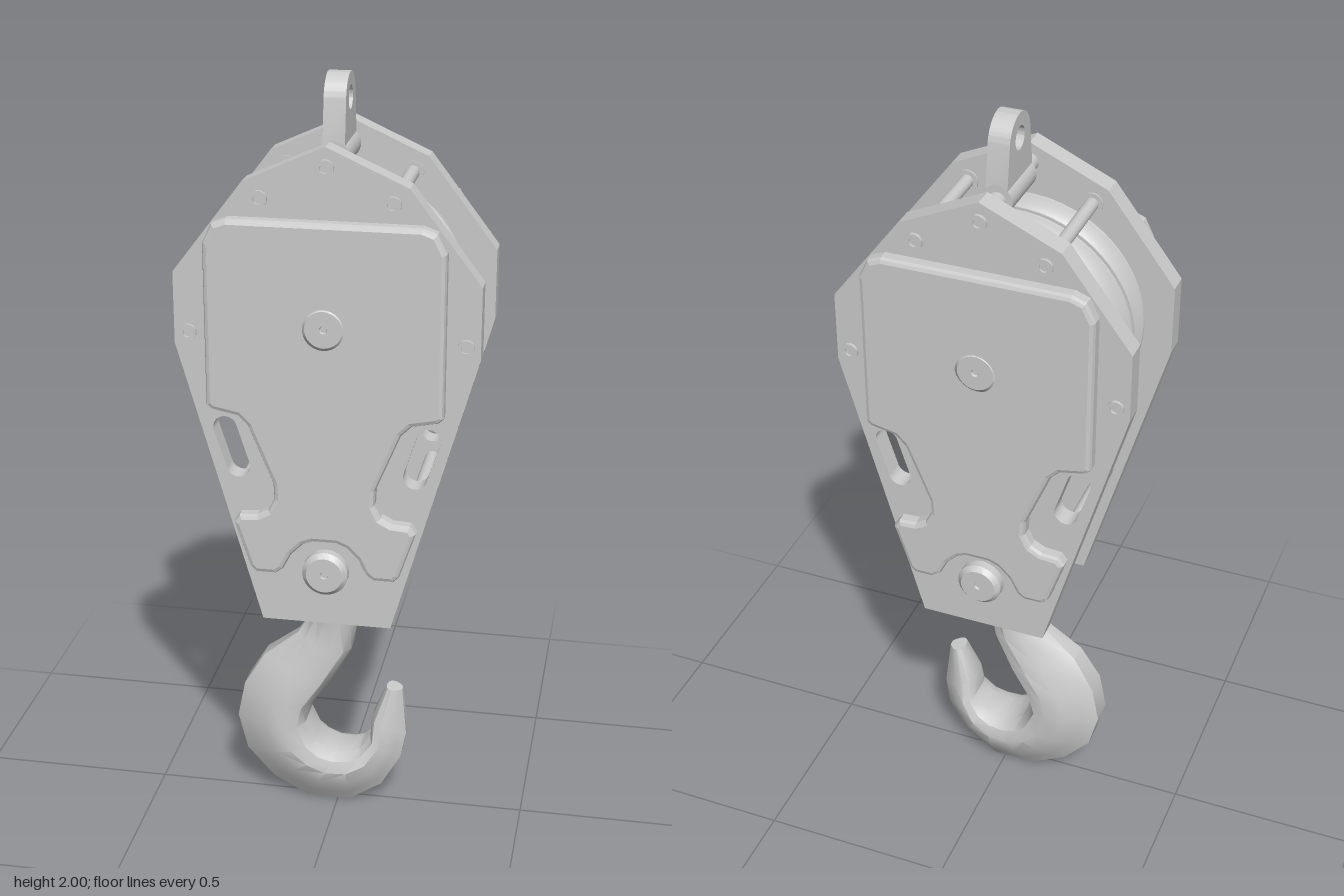
import * as THREE from 'three';
import { toCreasedNormals } from 'three/addons/utils/BufferGeometryUtils.js';

const grey = new THREE.MeshStandardMaterial({ color: 0xcccccc });
const V = (x, y) => new THREE.Vector2(x, y);

function mesh(parent, name, geometry, x = 0, y = 0, z = 0) {
  const m = new THREE.Mesh(geometry, grey);
  m.name = name;
  m.position.set(x, y, z);
  parent.add(m);
  return m;
}

// Cylinder lying along z
const rod = (r, length, sides = 24) => new THREE.CylinderGeometry(r, r, length, sides).rotateX(Math.PI / 2);

// Turned part about z; profile is [radius, z] pairs
const turned = (profile, sides = 32) => toCreasedNormals(
  new THREE.LatheGeometry(profile.map(p => V(...p)), sides).rotateX(Math.PI / 2), 0.6);

// Closed outline symmetric about x = 0, from its right half listed top to bottom
function symmetric(half) {
  const left = half.filter(p => p[0] > 0).map(([x, y]) => [-x, y]).reverse();
  return new THREE.Shape([...half, ...left].map(p => V(...p)));
}

// Capsule-shaped hole between two centres
function slot(ax, ay, bx, by, r) {
  const a = Math.atan2(by - ay, bx - ax);
  const path = new THREE.Path();
  path.absarc(bx, by, r, a - Math.PI / 2, a + Math.PI / 2, false);
  path.absarc(ax, ay, r, a + Math.PI / 2, a + Math.PI * 1.5, false);
  path.closePath();
  return path;
}

function circleHole(x, y, r) {
  const path = new THREE.Path();
  path.absarc(x, y, r, 0, Math.PI * 2, true);
  return path;
}

const AXLE_Y = 1.425, PIN_Y = 0.775;
const BOLTS = [[0, 1.81], [0.16, 1.73], [-0.16, 1.73], [0.34, 1.39], [-0.34, 1.39]];

// One cheek: plate, raised cover, bolts and pin heads, facing +z
function createCheek(name) {
  const g = new THREE.Group();
  g.name = name;

  const plate = symmetric([[0, 1.86], [0.2, 1.77], [0.375, 1.54], [0.375, 1.36], [0.165, 0.625]]);
  for (const s of [1, -1]) plate.holes.push(slot(s * 0.254, 1.145, s * 0.222, 1.045, 0.03));
  mesh(g, 'sidePlate', new THREE.ExtrudeGeometry(plate, { depth: 0.054, bevelEnabled: false, curveSegments: 10 }), 0, 0, 0.133);

  const cover = symmetric([
    [0.235, 1.685], [0.27, 1.672], [0.293, 1.625], [0.293, 1.215], [0.28, 1.203], [0.215, 1.19],
    [0.19, 1.165], [0.128, 1.015], [0.126, 0.975], [0.142, 0.943], [0.17, 0.928], [0.215, 0.925],
    [0.23, 0.905], [0.19, 0.785], [0.175, 0.77], [0.125, 0.77], [0.105, 0.785], [0.085, 0.825],
    [0.055, 0.855], [0.03, 0.865]]);
  cover.holes.push(circleHole(0, AXLE_Y, 0.063));
  mesh(g, 'coverPlate', new THREE.ExtrudeGeometry(cover, {
    depth: 0.024, bevelThickness: 0.012, bevelSize: 0.012, bevelOffset: -0.012, bevelSegments: 2, curveSegments: 16,
  }), 0, 0, 0.187);

  const head = turned([[0.058, 0], [0.058, 0.022], [0.046, 0.034], [0.01, 0.034], [0.008, 0.028], [0, 0.028]]);
  mesh(g, 'axleHead', head, 0, AXLE_Y, 0.187);
  mesh(g, 'crossPinHead', head, 0, PIN_Y, 0.187);

  const bolt = turned([[0.021, 0], [0.021, 0.008], [0.012, 0.008], [0.012, 0.002], [0, 0.002]], 16);
  for (const [x, y] of BOLTS) mesh(g, 'boltHead', bolt, x, y, 0.187);

  // Inner spacers
  mesh(g, 'axleWasher', rod(0.065, 0.006), 0, AXLE_Y, 0.131);
  for (const x of [-0.16, 0.16]) mesh(g, 'tieRodCollar', rod(0.028, 0.005, 16), x, 1.73, 0.131);
  mesh(g, 'crossPinCollar', turned([[0.075, 0], [0.075, 0.02], [0.055, 0.045], [0, 0.045]]), 0, PIN_Y, 0.09);
  return g;
}

// Hook lofted through stations: outer x, y, inner x, y, half width, roundness
function hookGeometry() {
  const stations = [
    [-0.07, 0.74, 0.07, 0.74, 0.08, 1],
    [-0.062, 0.64, 0.068, 0.64, 0.07, 1],
    [-0.068, 0.57, 0.052, 0.555, 0.064, 0.9],
    [-0.11, 0.5, 0.035, 0.465, 0.068, 0.6],
    [-0.2, 0.43, -0.02, 0.37, 0.086, 0.2],
    [-0.255, 0.34, -0.072, 0.3, 0.094, 0],
    [-0.275, 0.24, -0.085, 0.245, 0.094, 0],
    [-0.25, 0.14, -0.058, 0.188, 0.094, 0],
    [-0.18, 0.06, -0.03, 0.168, 0.092, 0],
    [-0.085, 0.005, 0, 0.16, 0.088, 0],
    [0.03, 0.002, 0.032, 0.162, 0.084, 0],
    [0.12, 0.06, 0.062, 0.172, 0.076, 0],
    [0.172, 0.15, 0.09, 0.205, 0.064, 0],
    [0.185, 0.22, 0.093, 0.265, 0.052, 0.2],
    [0.172, 0.35, 0.13, 0.355, 0.028, 0.4]];
  // Half section from outer edge to inner edge: [position, width]
  const sharp = [[0, 0.34], [0.2, 0.58], [0.45, 0.86], [0.7, 1], [0.9, 0.88], [1, 0.5]];
  const round = [[0, 0.15], [0.12, 0.65], [0.36, 0.96], [0.64, 0.96], [0.88, 0.65], [1, 0.15]];
  const n = sharp.length * 2, pos = [], idx = [];
  for (const [ox, oy, ix, iy, w, k] of stations) {
    for (let j = 0; j < n; j++) {
      const front = j < n / 2, i = front ? j : n - 1 - j;
      const t = THREE.MathUtils.lerp(sharp[i][0], round[i][0], k);
      const z = w * THREE.MathUtils.lerp(sharp[i][1], round[i][1], k);
      pos.push(ox + (ix - ox) * t, oy + (iy - oy) * t, front ? z : -z);
    }
  }
  for (let s = 0; s < stations.length - 1; s++) {
    for (let j = 0; j < n; j++) {
      const a = s * n + j, b = s * n + (j + 1) % n;
      idx.push(a, a + n, b + n, a, b + n, b);
    }
  }
  const last = (stations.length - 1) * n;
  for (let j = 1; j < n - 1; j++) idx.push(0, j, j + 1, last, last + j + 1, last + j);
  const geo = new THREE.BufferGeometry();
  geo.setAttribute('position', new THREE.Float32BufferAttribute(pos, 3));
  geo.setIndex(idx);
  return toCreasedNormals(geo, 0.6);
}

export function createModel() {
  const model = new THREE.Group();
  model.name = 'hookBlock';

  model.add(createCheek('frontCheek'));
  const back = createCheek('backCheek');
  back.rotation.y = Math.PI;
  model.add(back);

  // Three grooved sheaves on the axle
  const lower = [[0.04, -0.039], [0.1, -0.039], [0.11, -0.024], [0.235, -0.024], [0.245, -0.039], [0.305, -0.039],
    [0.304, -0.034], [0.285, -0.026], [0.27, -0.015], [0.263, -0.005]];
  const sheave = turned([...lower, ...lower.map(([r, z]) => [r, -z]).reverse()], 64);
  for (const z of [-0.088, 0, 0.088]) mesh(model, 'sheave', sheave, 0, AXLE_Y, z);
  mesh(model, 'axle', rod(0.045, 0.3), 0, AXLE_Y);

  // Tie rods between the cheeks
  for (const s of [-1, 1]) {
    mesh(model, 'upperTieRod', rod(0.017, 0.3, 16), s * 0.16, 1.73);
    mesh(model, 'lowerTieRod', rod(0.018, 0.3, 16), s * 0.222, 0.97);
  }

  // Top eye hanging on its own pin
  const becket = new THREE.Group();
  becket.name = 'topEye';
  model.add(becket);
  mesh(becket, 'eyePin', rod(0.023, 0.3), 0, 1.81);
  mesh(becket, 'eyeBarrel', rod(0.039, 0.156), 0, 1.81);
  const lug = new THREE.Shape();
  lug.moveTo(-0.078, 1.81);
  lug.lineTo(0.078, 1.81);
  lug.lineTo(0.078, 1.845);
  lug.absarc(0, 1.935, 0.065, 0.1, Math.PI - 0.1, false);
  lug.lineTo(-0.078, 1.845);
  lug.closePath();
  lug.holes.push(circleHole(0, 1.938, 0.029));
  const lugGeo = new THREE.ExtrudeGeometry(lug, { depth: 0.054, bevelEnabled: false, curveSegments: 20 });
  mesh(becket, 'eyeLug', toCreasedNormals(lugGeo.translate(0, 0, -0.027).rotateY(Math.PI / 2), 0.5));

  // Swivel crosshead, nut and hook
  mesh(model, 'crossPin', rod(0.05, 0.3), 0, PIN_Y);
  const crosshead = [[0, 0.71], [0.105, 0.71], [0.12, 0.725], [0.12, 0.835], [0.11, 0.85], [0, 0.85]];
  mesh(model, 'crosshead', toCreasedNormals(new THREE.LatheGeometry(crosshead.map(p => V(...p)), 32), 0.6));
  mesh(model, 'shankNut', new THREE.CylinderGeometry(0.083, 0.083, 0.12, 32), 0, 0.89);
  mesh(model, 'hook', hookGeometry());
  return model;
}
